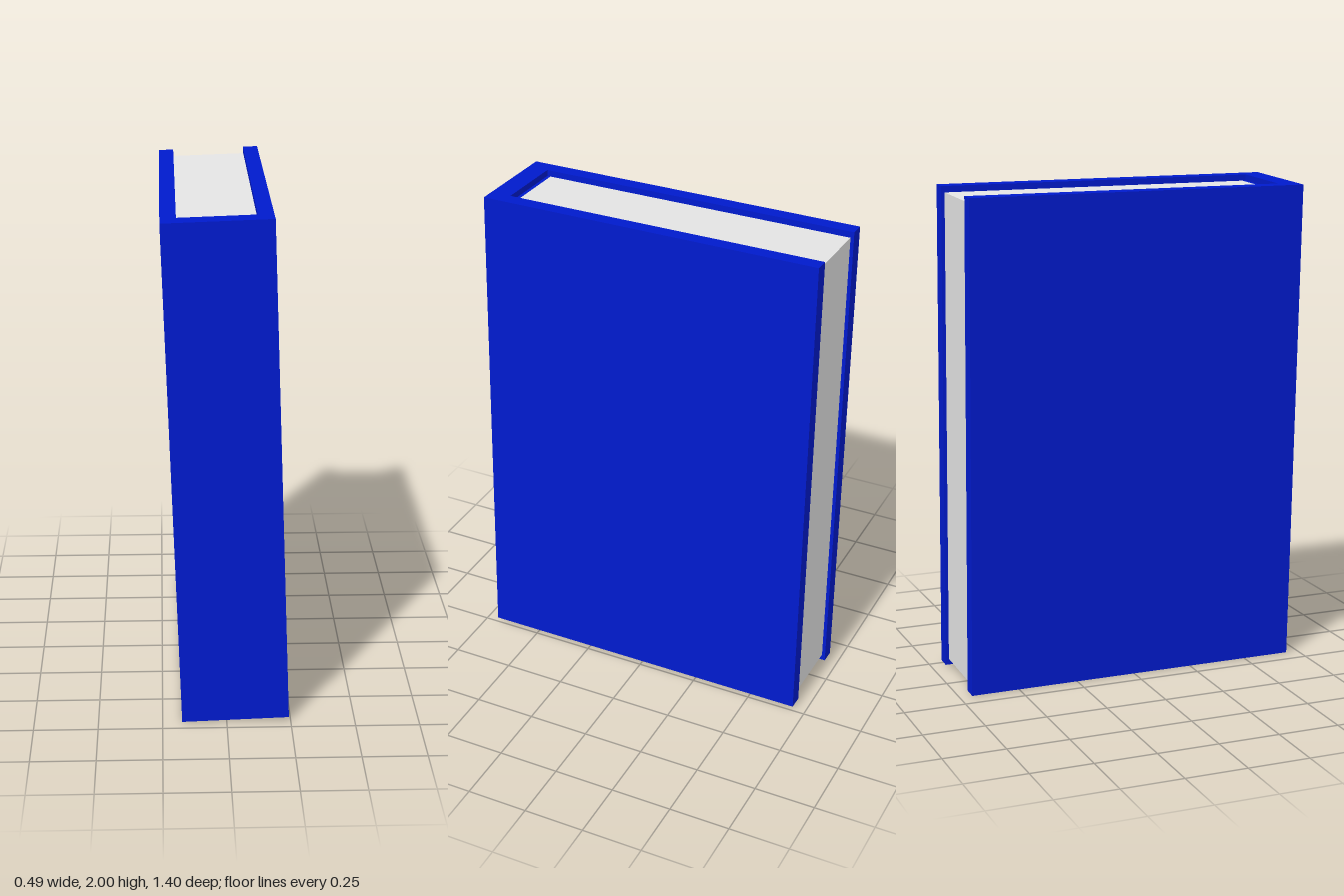
import * as THREE from 'three';

const W = 0.417, H = 1.986, D = 1.396; // closed book: thickness, height, depth
const BOARD = 0.06, SPINE = 0.084;     // cover wall thicknesses
const RECESS = 0.025;                  // page block set back from cover top and bottom

export function createModel() {
  const coverBlue = new THREE.MeshStandardMaterial({ color: 0x001acc });
  coverBlue.name = 'coverBlue';
  const pageWhite = new THREE.MeshStandardMaterial({ color: 0xe4e4e4 });
  pageWhite.name = 'pageWhite';

  const model = new THREE.Group();
  model.name = 'leaningBook';
  const add = (name, geometry, material, z = 0) => {
    const mesh = new THREE.Mesh(geometry, material);
    mesh.name = name;
    mesh.position.z = z;
    model.add(mesh);
  };

  // U-shaped cover: two boards joined by the spine at the front
  const x = W / 2, z = D / 2, xi = x - BOARD, zi = z - SPINE;
  const outline = new THREE.Shape([
    [-x, -z], [x, -z], [x, z], [xi, z], [xi, -zi], [-xi, -zi], [-xi, z], [-x, z],
  ].map(([a, b]) => new THREE.Vector2(a, b)));
  const cover = new THREE.ExtrudeGeometry(outline, { depth: H, bevelEnabled: false });
  cover.translate(0, 0, -H / 2).rotateX(-Math.PI / 2);
  add('cover', cover, coverBlue);

  // Page block, slightly short of the cover at the open edge
  const pageBack = -z + 0.014, pageFront = 0.6, pageHeight = H - 2 * RECESS;
  add('pages', new THREE.BoxGeometry(2 * xi, pageHeight, pageFront - pageBack),
    pageWhite, (pageBack + pageFront) / 2);

  // Thin binding strip between pages and spine
  add('binding', new THREE.BoxGeometry(2 * xi, pageHeight, zi - pageFront),
    coverBlue, (zi + pageFront) / 2);

  // Lean the book and stand its lower corner on the ground
  const lean = THREE.MathUtils.degToRad(2);
  model.rotation.z = lean;
  model.position.y = (H * Math.cos(lean) + W * Math.sin(lean)) / 2;

  const root = new THREE.Group();
  root.name = 'book';
  root.add(model);
  return root;
}
